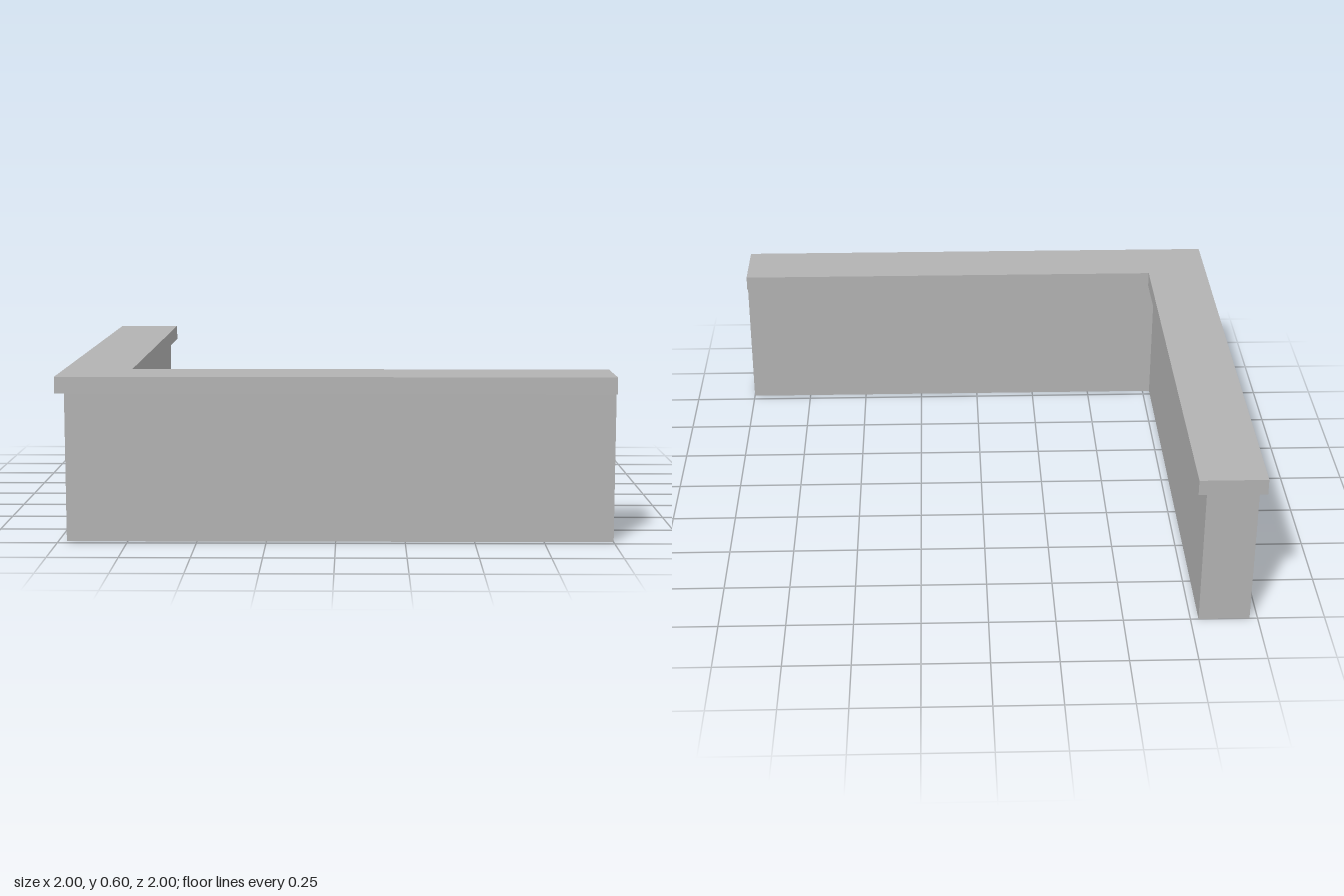
import * as THREE from 'three';

// L-shaped slab: outer and inner are the distances of its two faces from the centre
function cornerSlab(name, outer, inner, bottom, top, material) {
  const shape = new THREE.Shape([
    [-outer, -outer], [1, -outer], [1, -inner],
    [-inner, -inner], [-inner, 1], [-outer, 1],
  ].map(([x, y]) => new THREE.Vector2(x, y)));
  const geometry = new THREE.ExtrudeGeometry(shape, { depth: top - bottom, bevelEnabled: false });
  geometry.rotateX(-Math.PI / 2); // lay flat: the shape's y becomes -z
  geometry.translate(0, bottom, 0);
  const mesh = new THREE.Mesh(geometry, material);
  mesh.name = name;
  return mesh;
}

export function createModel() {
  const concrete = new THREE.MeshStandardMaterial({ color: 0xb2b2b2 });
  concrete.name = 'concrete grey';

  const group = new THREE.Group();
  group.name = 'cornerParapet';
  group.add(
    cornerSlab('wall', 0.97, 0.78, 0, 0.54, concrete),
    cornerSlab('coping', 1, 0.75, 0.54, 0.6, concrete), // overhangs both wall faces
  );
  return group;
}
